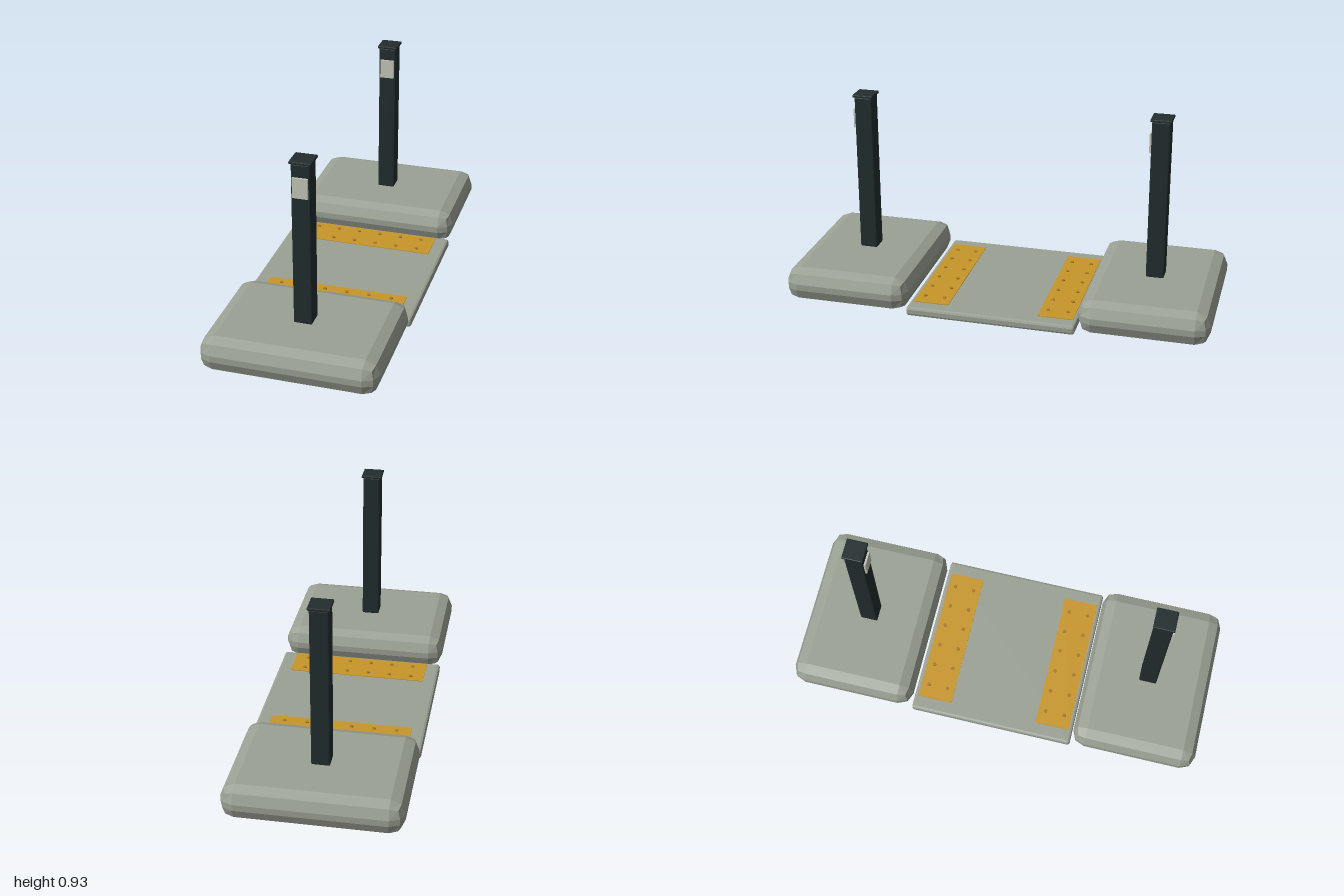
import * as THREE from 'three';
import { RoundedBoxGeometry } from 'three/addons/geometries/RoundedBoxGeometry.js';

const material = (name, color) => {
  const m = new THREE.MeshStandardMaterial({ color });
  m.name = name;
  m.flatShading = true;
  return m;
};

export function createModel() {
  const concrete = material('concrete grey', 0x9ba194);
  const darkMetal = material('dark post', 0x222d2e);
  const yellow = material('warning yellow', 0xc8962a);
  const bolt = material('bolt bronze', 0xa67c2c);
  const pale = material('pale label', 0xc4c7b9);

  const model = new THREE.Group();
  model.name = 'trafficIsland';

  const add = (parent, name, geometry, mat, x, y, z) => {
    const mesh = new THREE.Mesh(geometry, mat);
    mesh.name = name;
    mesh.position.set(x, y, z);
    parent.add(mesh);
    return mesh;
  };
  // chamfered box: two facets along every edge
  const bevelBox = (w, h, d, r) => new RoundedBoxGeometry(w, h, d, 1, r);

  // low walkway between the kerb blocks
  add(model, 'walkway', bevelBox(0.796, 0.044, 0.794, 0.012), concrete, 0, 0.022, 0);

  const boltGeometry = new THREE.CylinderGeometry(0.009, 0.009, 0.006, 8);

  for (const side of [1, -1]) {
    const end = new THREE.Group();
    end.name = side > 0 ? 'frontEnd' : 'backEnd';
    model.add(end);

    // kerb block
    add(end, 'kerbBlock', bevelBox(0.8, 0.16, 0.598, 0.065), concrete, 0, 0.08, side * 0.701);

    // square post with cap; both labels face the front
    add(end, 'post', bevelBox(0.084, 0.76, 0.084, 0.006), darkMetal, 0, 0.54, side * 0.7);
    add(end, 'postCap', bevelBox(0.098, 0.013, 0.098, 0.004), darkMetal, 0, 0.9255, side * 0.7);
    add(end, 'label', new THREE.BoxGeometry(0.068, 0.092, 0.009), pale, 0, 0.814, side * 0.7 + 0.0465);

    // tactile strip with two rows of bolts
    add(end, 'warningStrip', new THREE.BoxGeometry(0.666, 0.005, 0.166), yellow, 0, 0.0445, side * 0.295);
    for (let i = 0; i < 6; i++) {
      for (const row of [-0.047, 0.047]) {
        add(end, 'bolt', boltGeometry, bolt, (i - 2.5) * 0.1065, 0.048, side * 0.295 + row);
      }
    }
  }
  return model;
}
